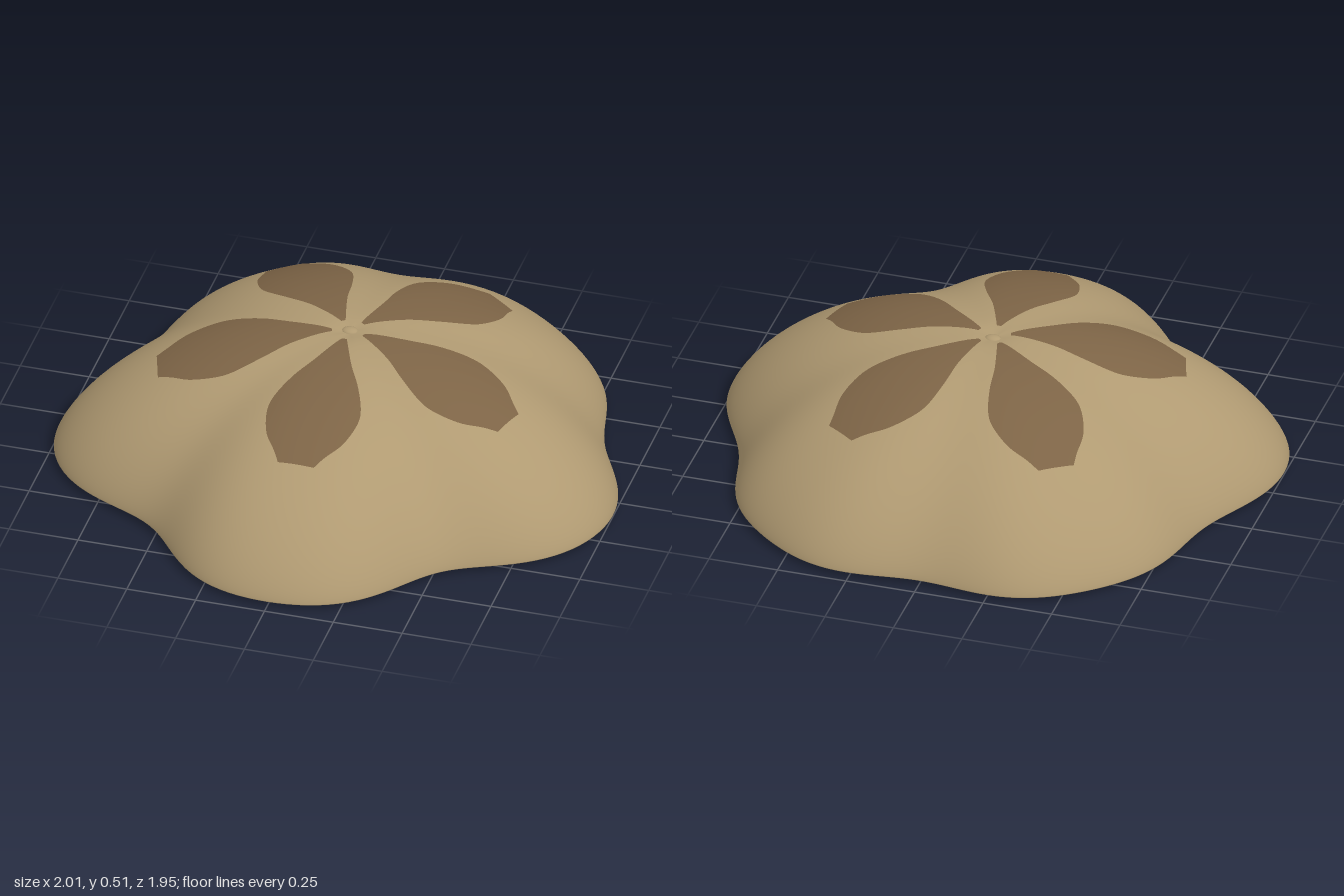
import * as THREE from 'three';

const CENTRE_Z = -0.06;
// Outline radius every 18 degrees from the front lobe round to the back
const RADII = [1.03, 0.98, 0.865, 0.948, 1.03, 0.975, 0.89, 0.95, 0.98, 0.962, 0.895];

// Smooth mirrored outline: cosine series through the radii
const N = RADII.length - 1;
const edge = (i) => (i === 0 || i === N ? 0.5 : 1);
const COEFFS = RADII.map((_, k) => (2 / N) * edge(k) *
  RADII.reduce((sum, r, j) => sum + edge(j) * r * Math.cos((k * j * Math.PI) / N), 0));
const outline = (a) => COEFFS.reduce((sum, c, k) => sum + c * Math.cos(k * a), 0);

// Dome height at a fraction s of the way to the rim, with a slight dimple on top
const domeHeight = (s) => 0.02 + 0.485 * Math.pow(Math.max(0, 1 - Math.pow(s, 2.3)), 0.75)
  - 0.012 * Math.exp(-((s / 0.06) ** 2));

// Smooth surface from a grid of points; wrap joins the last column to the first
function gridSurface(rows, cols, wrap, point) {
  const pos = [], index = [];
  for (let i = 0; i < rows; i++) {
    for (let j = 0; j < cols; j++) pos.push(...point(i, j));
  }
  for (let i = 0; i < rows - 1; i++) {
    for (let j = 0; j < (wrap ? cols : cols - 1); j++) {
      const a = i * cols + j, b = i * cols + ((j + 1) % cols);
      index.push(a, a + cols, b, b, a + cols, b + cols);
    }
  }
  const geo = new THREE.BufferGeometry();
  geo.setAttribute('position', new THREE.Float32BufferAttribute(pos, 3));
  geo.setIndex(index);
  geo.computeVertexNormals();
  return geo;
}

// Domed shell with a tucked rim and flat underside
function shellGeometry() {
  const rings = [];
  for (let i = 0; i <= 64; i++) {
    const s = Math.sin((i / 64) * Math.PI / 2);
    rings.push([s, domeHeight(s)]);
  }
  rings.push([0.985, 0.014], [0.95, 0.006], [0.9, 0], [0.85, 0], [0.4, 0], [0, 0]);
  const cols = 180;
  return gridSurface(rings.length, cols, true, (i, j) => {
    const a = (j / cols) * Math.PI * 2;
    const [s, y] = rings[i];
    const r = s * outline(a);
    return [r * Math.sin(a), y, r * Math.cos(a) + CENTRE_Z];
  });
}

// Petal marking: half width along its length, draped just above the dome
const PETAL = new THREE.SplineCurve([
  [0.06, 0.008], [0.2, 0.065], [0.3, 0.118], [0.4, 0.158], [0.47, 0.163],
  [0.56, 0.138], [0.63, 0.09], [0.67, 0.065],
].map(([r, w]) => new THREE.Vector2(r, w)));

function petalGeometry(angle) {
  const rows = 41, cols = 17;
  return gridSurface(rows, cols, false, (i, j) => {
    const p = PETAL.getPoint(i / (rows - 1));
    const w = p.y * ((2 * j) / (cols - 1) - 1);
    const r = Math.hypot(p.x, w), a = angle + Math.atan2(w, p.x);
    return [r * Math.sin(a), domeHeight(r / outline(a)) + 0.004, r * Math.cos(a) + CENTRE_Z];
  });
}

export function createModel() {
  const sand = new THREE.MeshStandardMaterial({ color: 0xb09a72 });
  sand.name = 'sand';
  const brown = new THREE.MeshStandardMaterial({ color: 0x7d6446 });
  brown.name = 'petal brown';

  const model = new THREE.Group();
  model.name = 'sandDollar';
  const add = (name, geo, mat) => {
    const mesh = new THREE.Mesh(geo, mat);
    mesh.name = name;
    model.add(mesh);
    return mesh;
  };

  add('shell', shellGeometry(), sand);
  for (let k = 0; k < 5; k++) {
    add(`petal${k + 1}`, petalGeometry((k * Math.PI * 2) / 5), brown);
  }

  // Small knob in the dimple where the petals meet
  const knob = add('apexKnob', new THREE.SphereGeometry(0.03, 20, 12), sand);
  knob.scale.set(1, 0.45, 0.8);
  knob.position.set(0, 0.491, CENTRE_Z - 0.01);

  return model;
}
